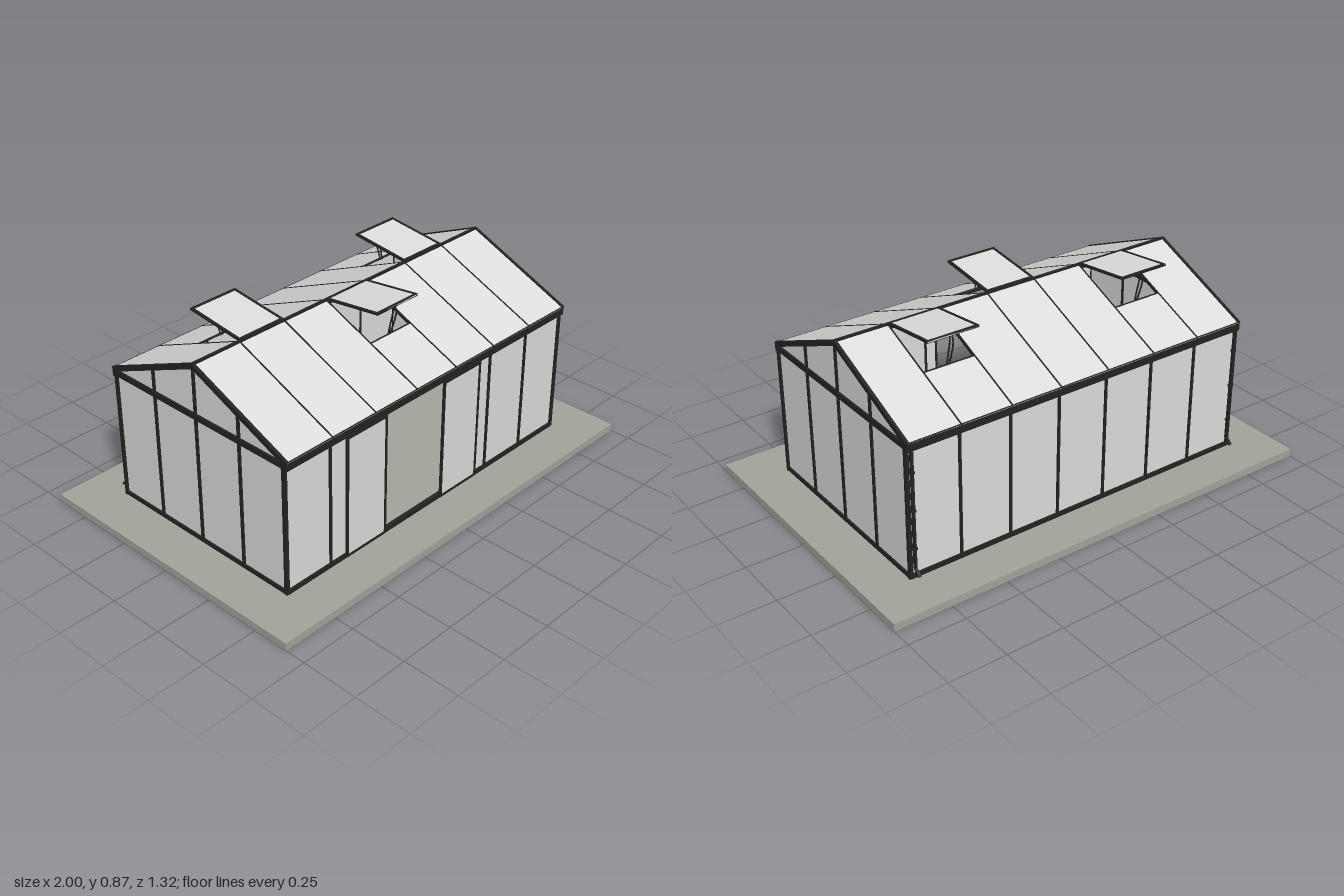
import * as THREE from 'three';

const frameMat = new THREE.MeshStandardMaterial({ color: 0x222422 });
frameMat.name = 'dark frame';
const glassMat = new THREE.MeshStandardMaterial({ color: 0xdcdedc });
glassMat.name = 'pale glazing';
const slabMat = new THREE.MeshStandardMaterial({ color: 0xa4a49c });
slabMat.name = 'grey slab';

const HX = 0.805, HZ = 0.468;            // half length and half depth of the walls
const FLOOR = 0.033, EAVE = 0.612, RIDGE = 0.832;
const BAYS = 7, BAY = (2 * HX) / BAYS;
const PITCH = Math.atan2(0.204, 0.475), SLOPE = 0.527;
const bayX = (i) => -HX + i * BAY;

// Box given by its extents on each axis
function box(parent, name, mat, [x0, x1], [y0, y1], [z0, z1]) {
  const m = new THREE.Mesh(new THREE.BoxGeometry(x1 - x0, y1 - y0, z1 - z0), mat);
  m.position.set((x0 + x1) / 2, (y0 + y1) / 2, (z0 + z1) / 2);
  m.name = name;
  parent.add(m);
  return m;
}
const around = (c, w) => [c - w / 2, c + w / 2];

function group(parent, name) {
  const g = new THREE.Group();
  g.name = name;
  parent.add(g);
  return g;
}

function tube(parent, name, points, radius) {
  const curve = new THREE.CatmullRomCurve3(points.map((p) => new THREE.Vector3(...p)));
  const m = new THREE.Mesh(new THREE.TubeGeometry(curve, 12, radius, 6), frameMat);
  m.name = name;
  parent.add(m);
}

// Long wall facing +z, with glazing in the listed bays
function longWall(parent, name, openBays) {
  const wall = group(parent, name);
  for (let i = 0; i < BAYS; i++) {
    if (openBays.includes(i)) continue;
    box(wall, 'wallPane', glassMat, [bayX(i), bayX(i + 1)], [FLOOR, 0.628], around(HZ - 0.004, 0.004));
  }
  for (let i = 0; i <= BAYS; i++) {
    if (openBays.includes(i) && openBays.includes(i - 1)) continue;
    const end = i === 0 || i === BAYS;
    box(wall, end ? 'cornerPost' : 'mullion', frameMat, around(bayX(i), end ? 0.014 : 0.011),
      [FLOOR, EAVE], around(HZ - 0.002, 0.014));
  }
  box(wall, 'sillRail', frameMat, [-HX, HX], [FLOOR, 0.052], around(HZ - 0.002, 0.018));
  box(wall, 'eaveGutter', frameMat, [-HX - 0.006, HX + 0.006], [0.59, 0.62], [HZ - 0.012, HZ + 0.016]);
  return wall;
}

// Sliding door leaf
function door(parent, x0, x1) {
  const leaf = group(parent, 'slidingDoor');
  const y0 = 0.042, y1 = 0.588, z = [HZ + 0.007, HZ + 0.016];
  box(leaf, 'doorPane', glassMat, [x0, x1], [y0, y1], around(HZ + 0.011, 0.003));
  for (const x of [x0, x1]) box(leaf, 'doorStile', frameMat, around(x, 0.01), [y0, y1], z);
  for (const y of [y0 + 0.005, y1 - 0.005]) box(leaf, 'doorRail', frameMat, [x0, x1], around(y, 0.01), z);
}

// End wall facing +x: pentagonal pane with mullions and rafters
function gable(parent, side) {
  const wall = group(parent, side > 0 ? 'leftGable' : 'rightGable');
  wall.scale.x = 1;
  wall.rotation.y = side > 0 ? 0 : Math.PI;
  const s = new THREE.Shape([[-HZ, FLOOR], [HZ, FLOOR], [HZ, 0.628], [0, RIDGE - 0.004], [-HZ, 0.628]]
    .map(([a, b]) => new THREE.Vector2(a, b)));
  const pane = new THREE.Mesh(new THREE.ExtrudeGeometry(s, { depth: 0.004, bevelEnabled: false }), glassMat);
  pane.name = 'gablePane';
  pane.rotation.y = Math.PI / 2;
  pane.position.x = HX - 0.006;
  wall.add(pane);
  const x = [HX - 0.01, HX + 0.005];
  for (const z of [-0.235, 0, 0.235]) {
    box(wall, 'gableMullion', frameMat, x, [FLOOR, RIDGE - 0.01 - Math.abs(z) * 0.43], around(z, 0.013));
  }
  box(wall, 'gableSill', frameMat, x, [FLOOR, 0.052], [-HZ, HZ]);
  box(wall, 'gableTieBeam', frameMat, [HX - 0.012, HX + 0.007], [0.597, 0.622], [-HZ - 0.012, HZ + 0.012]);
  for (const z of [-HZ, HZ]) box(wall, 'gablePost', frameMat, x, [FLOOR, EAVE], around(z * 0.993, 0.014));
}

// Hinged roof vent with its pair of curved stays, in upright coordinates
function vent(parent, x) {
  const v = group(parent, 'roofVent');
  v.position.x = x;
  const lid = group(v, 'ventLid');
  lid.position.y = RIDGE + 0.005;
  lid.rotation.x = -Math.atan2(0.033, 0.272);
  const w = BAY / 2, len = 0.277;
  box(lid, 'ventPane', glassMat, [-w, w], [-0.002, 0.002], [0, len]);
  for (const sx of [-1, 1]) box(lid, 'ventSideBar', frameMat, around(sx * (w - 0.005), 0.011), around(0, 0.009), [0, len]);
  for (const z of [0.005, len - 0.006]) box(lid, 'ventCrossBar', frameMat, [-w, w], around(0, 0.009), around(z, 0.012));
  for (const sx of [-1, 1]) {
    tube(v, 'ventStay', [[sx * 0.005, 0.727, 0.232], [sx * 0.005, 0.78, 0.247 + sx * 0.004],
      [sx * 0.005, 0.83, 0.258 + sx * 0.004], [sx * 0.005, 0.863, 0.255]], 0.0035);
  }
}

// One roof slope falling towards +z, with vents over the listed bays
function roofSlope(parent, name, ventBays) {
  const side = group(parent, name);
  const slope = group(side, 'slopeGlazing');
  slope.position.y = RIDGE;
  slope.rotation.x = PITCH;
  for (let i = 0; i < BAYS; i++) {
    const open = ventBays.includes(i);
    box(slope, 'roofPane', glassMat, [bayX(i), bayX(i + 1)], [-0.002, 0.002], [open ? 0.26 : 0, SLOPE]);
    if (open) {
      box(slope, 'ventSill', frameMat, [bayX(i), bayX(i + 1)], around(0, 0.008), around(0.26, 0.006));
      vent(side, bayX(i + 0.5));
    }
  }
  for (let i = 0; i <= BAYS; i++) {
    const end = i === 0 || i === BAYS;
    box(slope, end ? 'endRafter' : 'glazingBar', frameMat, around(bayX(i), end ? 0.013 : 0.006),
      end ? [-0.016, 0.006] : [-0.008, 0.004], [0, SLOPE]);
  }
  box(slope, 'eaveTrim', frameMat, [-HX, HX], [-0.005, 0.003], [SLOPE - 0.005, SLOPE]);
  return side;
}

export function createModel() {
  const model = new THREE.Group();
  model.name = 'greenhouse';
  box(model, 'baseSlab', slabMat, [-1, 1], [0, FLOOR], [-0.66, 0.66]);

  // Walls: a two-bay doorway in front, fully glazed behind
  const front = longWall(model, 'frontWall', [2, 3]);
  box(front, 'doorHeaderPane', glassMat, [bayX(2), bayX(4)], [0.6, 0.628], around(HZ - 0.004, 0.004));
  door(front, -0.495, -0.285);
  door(front, 0.051, 0.265);
  const back = longWall(model, 'backWall', []);
  back.rotation.y = Math.PI;
  for (const side of [1, -1]) gable(model, side);

  // Roof
  roofSlope(model, 'frontRoof', [3]);
  roofSlope(model, 'backRoof', [1, 5]).rotation.y = Math.PI;
  box(model, 'ridgeBar', frameMat, [-HX - 0.005, HX + 0.005], [RIDGE - 0.018, RIDGE + 0.006], around(0, 0.014));

  // Downpipes on the back corners
  for (const s of [-1, 1]) {
    const pipe = group(model, 'downpipe');
    const x = s * 0.79, z = -HZ - 0.012;
    box(pipe, 'pipe', frameMat, around(x, 0.012), [0.085, 0.6], around(z, 0.01));
    const spout = box(pipe, 'spout', frameMat, around(x, 0.012), around(0.072, 0.045), around(z - 0.012, 0.009));
    spout.rotation.x = Math.PI / 4;
    for (const y of [0.17, 0.335, 0.5]) box(pipe, 'pipeClip', frameMat, around(x, 0.018), around(y, 0.01), around(z, 0.014));
  }
  return model;
}
